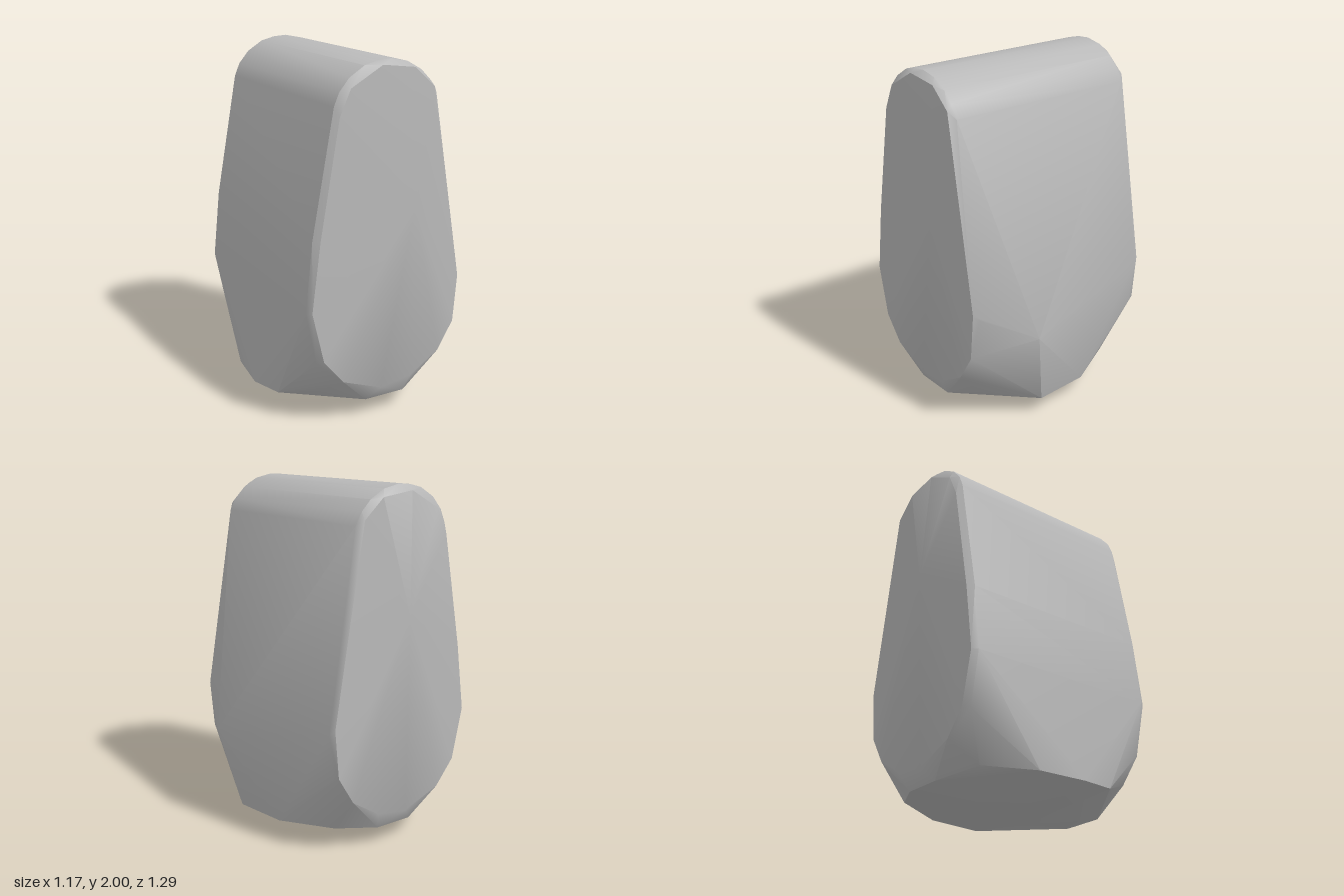
import * as THREE from 'three';
import { ConvexGeometry } from 'three/addons/geometries/ConvexGeometry.js';
import { toCreasedNormals } from 'three/addons/utils/BufferGeometryUtils.js';

export function createModel() {
  const stone = new THREE.MeshStandardMaterial({ color: 0xb8b8b8 });
  stone.name = 'stone grey';

  // Outline of the body just behind each end cap (x, y)
  const body = [
    [-0.53, 0.7], [-0.49, 1.08], [-0.36, 1.77], [-0.33, 1.84], [-0.27, 1.91], [-0.18, 1.965],
    [-0.1, 1.985], [-0.02, 1.99], [0.08, 1.97], [0.17, 1.92], [0.23, 1.86], [0.27, 1.79],
    [0.44, 0.72], [0.41, 0.47], [-0.47, 0.4],
  ];
  // Slightly smaller outline of the end caps (x, y)
  const cap = [
    [-0.08, 0.18], [0.12, 0.21], [0.3, 0.32], [0.4, 0.48], [0.425, 0.75], [0.235, 1.83],
    [0.11, 1.94], [-0.09, 1.965], [-0.28, 1.86], [-0.345, 1.72], [-0.46, 1.08],
    [-0.51, 0.7], [-0.44, 0.41], [-0.32, 0.27],
  ];
  // Rim of the base, its lowest point and the side peaks (x, y, z)
  const base = [
    [-0.09, 0, 0.07],
    [-0.59, 0.12, 0.07], [-0.55, 0.13, 0.28], [-0.38, 0.17, 0.46], [-0.15, 0.105, 0.56],
    [0.1, 0.105, 0.56], [0.27, 0.155, 0.46], [0.49, 0.11, 0.18], [0.46, 0.11, -0.15],
    [0.3, 0.12, -0.45], [0.08, 0.105, -0.56], [-0.15, 0.105, -0.56], [-0.38, 0.15, -0.45],
    [-0.55, 0.13, -0.2],
    [0.585, 0.57, 0.28],
  ];

  const points = base.map((p) => new THREE.Vector3(...p));
  for (const side of [1, -1]) {
    for (const [x, y] of body) {
      const lift = side < 0 && y > 1.7 ? 0.01 : 0;
      points.push(new THREE.Vector3(x, y + lift, side * 0.575));
    }
    for (const [x, y] of cap) points.push(new THREE.Vector3(x, y, side * 0.608));
  }
  // Shallow domes of the caps
  points.push(new THREE.Vector3(0.1, 1.2, 0.645), new THREE.Vector3(-0.06, 1.3, -0.642));

  const boulder = new THREE.Mesh(toCreasedNormals(new ConvexGeometry(points), 0.6), stone);
  boulder.name = 'boulder';

  const group = new THREE.Group();
  group.name = 'standingStone';
  group.add(boulder);
  return group;
}
